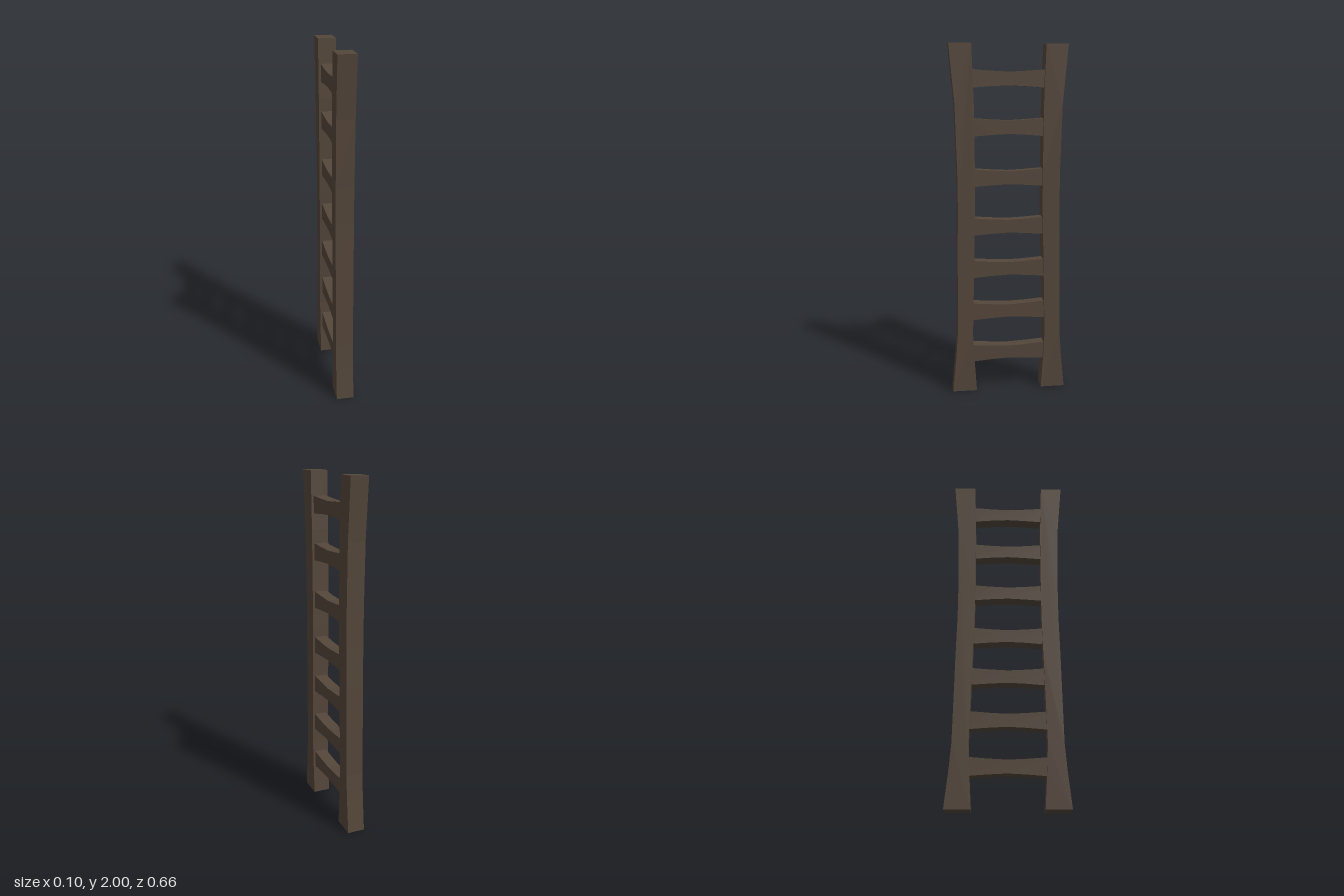
import * as THREE from 'three';

const wood = new THREE.MeshStandardMaterial({ color: 0x54463a });
wood.name = 'dark wood';

// Extrudes a side outline, given as [z, y] pairs, to a thickness centred on x = 0
function plank(name, outline, thickness) {
  const shape = new THREE.Shape(outline.map(([z, y]) => new THREE.Vector2(z, y)));
  const geometry = new THREE.ExtrudeGeometry(shape, { depth: thickness, bevelEnabled: false });
  geometry.translate(0, 0, -thickness / 2).rotateY(-Math.PI / 2);
  const mesh = new THREE.Mesh(geometry, wood);
  mesh.name = name;
  return mesh;
}

export function createModel() {
  const ladder = new THREE.Group();
  ladder.name = 'ladder';

  // Side rails, flared at both ends: [y, inner z, outer z]
  const stations = [
    [0, 0.192, 0.332], [0.2, 0.205, 0.312], [0.35, 0.212, 0.301], [0.87, 0.199, 0.295],
    [1.1, 0.193, 0.291], [1.3, 0.193, 0.292], [1.67, 0.196, 0.302], [2, 0.207, 0.332],
  ];
  for (const [name, s] of [['frontRail', 1], ['backRail', -1]]) {
    const outer = stations.map(([y, , z]) => [s * z, y]);
    const inner = stations.map(([y, z]) => [s * z, y]).reverse();
    ladder.add(plank(name, [...outer, ...inner], 0.1));
  }

  // Rungs, waisted towards the middle: [z, half height]
  const waist = [[-0.215, 0.051], [-0.1, 0.042], [0, 0.037], [0.1, 0.042], [0.215, 0.051]];
  [0.226, 0.48, 0.734, 0.983, 1.262, 1.545, 1.812].forEach((y, i) => {
    const bottom = waist.map(([z, h]) => [z, -h]);
    const top = waist.map(([z, h]) => [z, h]).reverse();
    const rung = plank(`rung${i + 1}`, [...bottom, ...top], 0.072);
    rung.position.y = y;
    ladder.add(rung);
  });

  return ladder;
}
